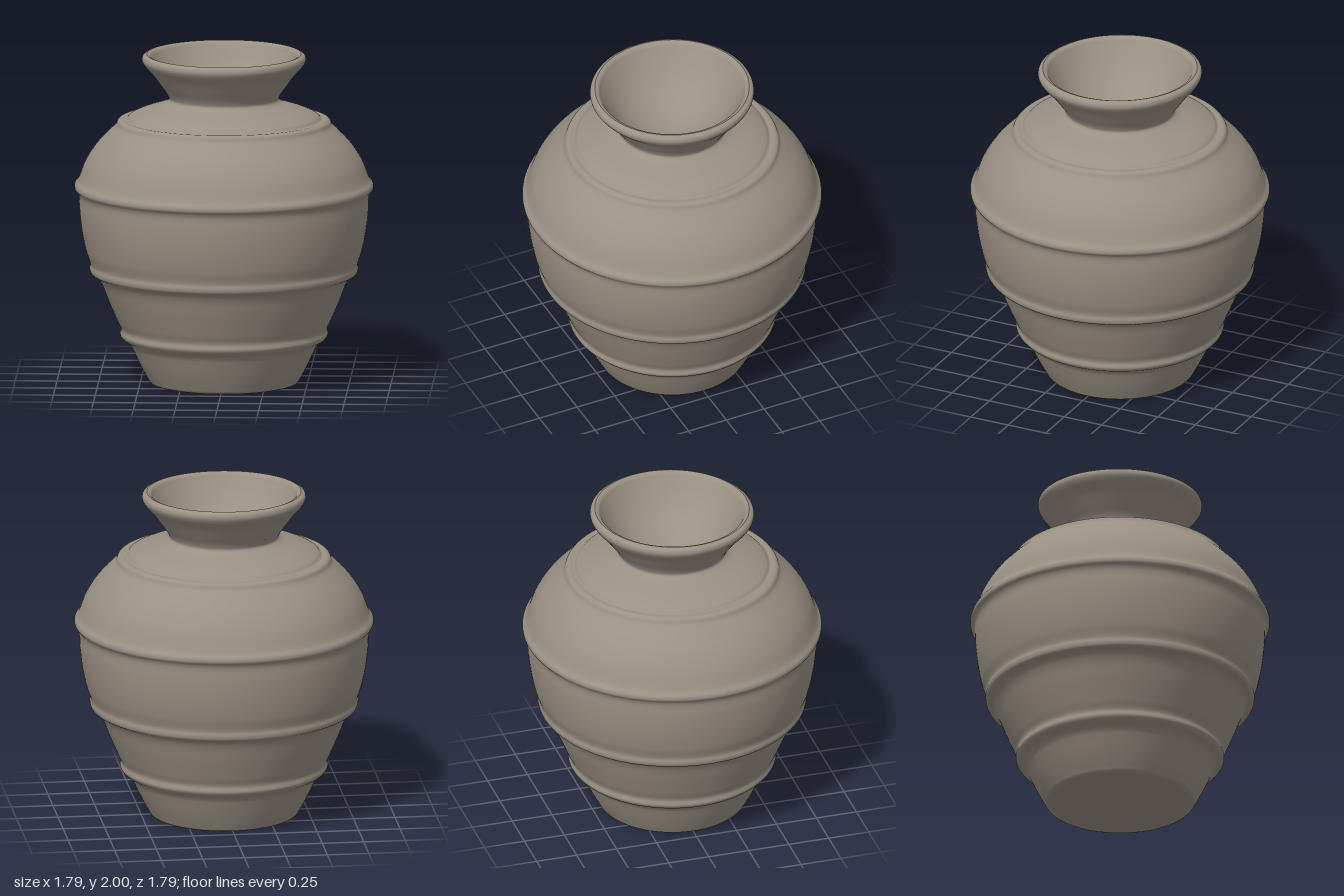
import * as THREE from 'three';

const SEGMENTS = 128;

// Smooth curve through [radius, height] points, sampled for a lathe
function profile(points, samples) {
  const curve = new THREE.CatmullRomCurve3(
    points.map(([r, y]) => new THREE.Vector3(r, y, 0)), false, 'centripetal');
  return curve.getPoints(samples).map(p => new THREE.Vector2(Math.max(p.x, 0), p.y));
}

// Hand-thrown lip: the rim rises very slightly toward the back
function tiltRim(geometry) {
  const pos = geometry.attributes.position;
  for (let i = 0; i < pos.count; i++) {
    const k = THREE.MathUtils.smoothstep(pos.getY(i), 1.85, 1.97);
    pos.setY(i, pos.getY(i) - 0.012 * k * pos.getZ(i));
  }
  return geometry;
}

export function createModel() {
  const group = new THREE.Group();
  group.name = 'vase';
  const clay = new THREE.MeshStandardMaterial({ color: 0x9a9184 });
  clay.name = 'clay';

  const add = (name, points) => {
    const mesh = new THREE.Mesh(tiltRim(new THREE.LatheGeometry(points, SEGMENTS)), clay);
    mesh.name = name;
    group.add(mesh);
  };

  // Flat underside
  add('base', [new THREE.Vector2(0, 0), new THREE.Vector2(0.425, 0)]);

  // Outer wall: foot, three raised bands, shoulder step, neck and flared lip
  add('body', profile([
    [0.425, 0], [0.443, 0.008], [0.46, 0.035], [0.505, 0.12], [0.54, 0.195],
    [0.555, 0.225], [0.575, 0.25], [0.607, 0.272], [0.622, 0.295], [0.618, 0.33],
    [0.642, 0.385], [0.695, 0.51], [0.735, 0.61], [0.76, 0.648], [0.797, 0.672],
    [0.804, 0.695], [0.801, 0.725], [0.825, 0.8], [0.85, 0.92], [0.865, 1.05],
    [0.869, 1.135], [0.878, 1.16], [0.894, 1.182], [0.893, 1.205], [0.872, 1.235],
    [0.83, 1.34], [0.765, 1.44], [0.69, 1.52], [0.648, 1.562], [0.634, 1.59],
    [0.615, 1.6], [0.585, 1.6], [0.565, 1.618], [0.5, 1.648], [0.41, 1.678],
    [0.35, 1.7], [0.329, 1.72], [0.338, 1.748], [0.378, 1.805], [0.43, 1.875],
    [0.475, 1.925], [0.49, 1.955], [0.485, 1.98], [0.462, 1.993],
  ], 260));

  // Smooth hollow inside the mouth
  add('mouth', profile([
    [0.462, 1.993], [0.44, 1.983], [0.42, 1.95], [0.37, 1.87], [0.3, 1.785],
    [0.2, 1.71], [0.1, 1.67], [0, 1.65],
  ], 48));

  return group;
}
